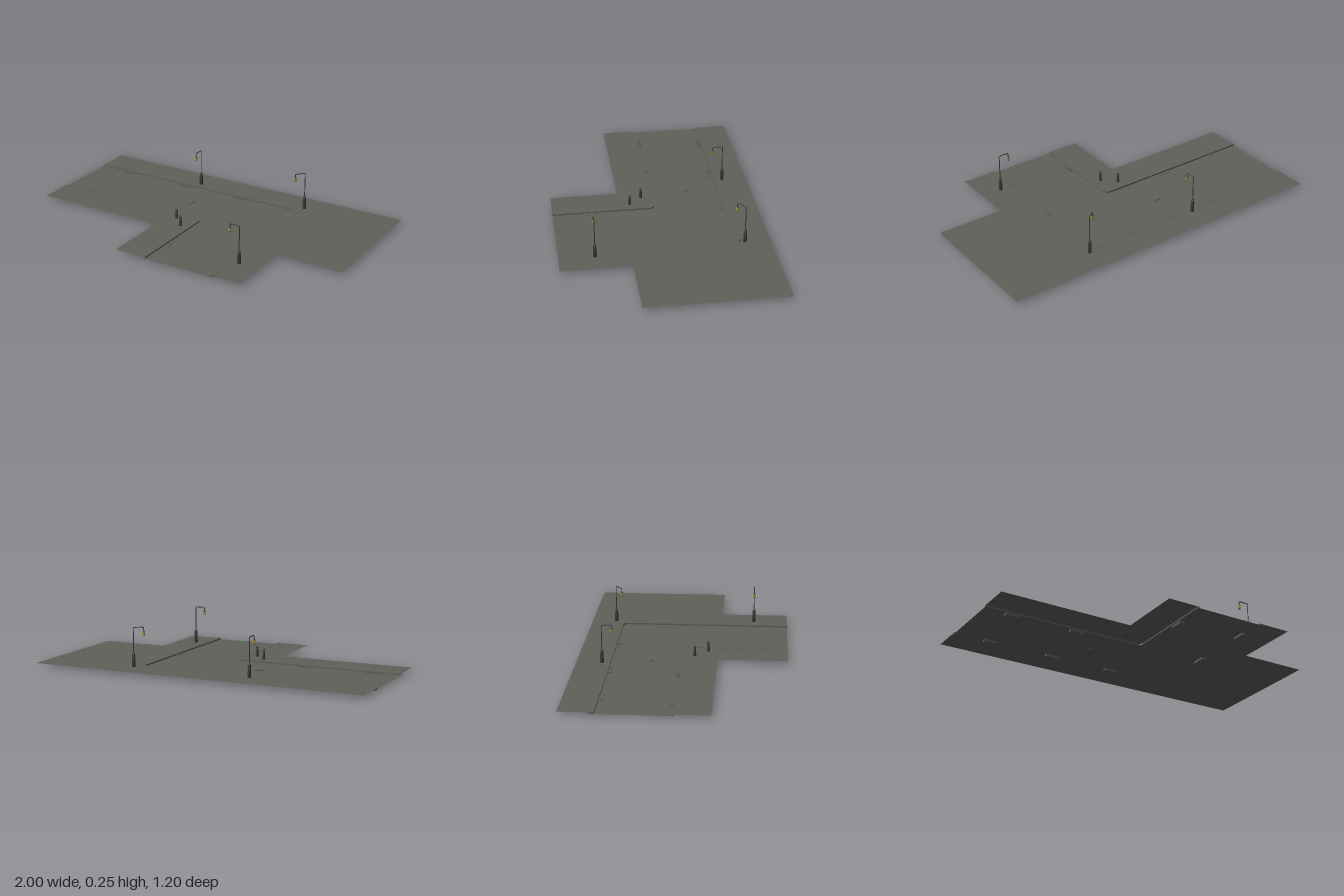
import * as THREE from 'three';

const ROAD_Y = 0.011, WALK_Y = 0.019;

const mat = (name, color, side = THREE.FrontSide) => {
  const m = new THREE.MeshStandardMaterial({ color, side });
  m.name = name;
  return m;
};

// L-shaped line: along x to a rounded corner, then along z to the stem's end
function ell(x, z, r) {
  const pts = [[-1, z]];
  for (let i = 0; i <= 8; i++) {
    const a = (i / 8) * Math.PI / 2;
    pts.push([x - r + r * Math.sin(a), z + r - r * Math.cos(a)]);
  }
  pts.push([x, 0.6]);
  return pts;
}

const toShape = pts => new THREE.Shape(pts.map(([x, z]) => new THREE.Vector2(x, -z)));

export function createModel() {
  const model = new THREE.Group();
  const stone = mat('pavingStone', 0x5f605a, THREE.DoubleSide);
  const iron = mat('darkIron', 0x3b3e3a);
  const gold = mat('lampGlass', 0xb5953c);

  const add = (parent, name, geo, material, x = 0, y = 0, z = 0) => {
    const m = new THREE.Mesh(geo, material);
    m.name = name;
    m.position.set(x, y, z);
    parent.add(m);
    return m;
  };
  const sheet = (name, pts, y) =>
    add(model, name, new THREE.ShapeGeometry(toShape(pts)).rotateX(-Math.PI / 2), stone, 0, y);
  const strip = (name, a, b) =>
    add(model, name, new THREE.ExtrudeGeometry(toShape([...a, ...b.reverse()]),
      { depth: 0.02 - ROAD_Y, bevelEnabled: false }).rotateX(-Math.PI / 2), stone, 0, ROAD_Y);

  // Road, pavements and kerbs
  sheet('road', [...ell(-0.005, 0, 0.03), ...ell(0.4, -0.405, 0.03).reverse()], ROAD_Y);
  sheet('outerPavement', [...ell(0.432, -0.438, 0.03),
    [0.6, 0.6], [0.6, 0.2], [1, 0.2], [1, -0.6], [-1, -0.6]], WALK_Y);
  sheet('innerPavement', [...ell(-0.005, 0, 0.03), [-0.2, 0.6], [-0.2, 0.2], [-1, 0.2]], WALK_Y);
  strip('outerKerb', ell(0.4, -0.405, 0.03), ell(0.432, -0.438, 0.04));
  strip('innerKerb', ell(-0.005, 0, 0.03), ell(-0.013, 0.008, 0.025));

  // Manhole cover with a low rim
  add(model, 'manholeCover', new THREE.CylinderGeometry(0.033, 0.035, 0.006, 16), stone, -0.215, ROAD_Y + 0.002, -0.2);
  add(model, 'manholeRim', new THREE.TorusGeometry(0.034, 0.002, 4, 16).rotateX(Math.PI / 2), stone, -0.215, ROAD_Y + 0.003, -0.2);

  // Gutter drains: [x, z, turned along z]
  const drains = [
    [-0.78, -0.392, 0], [-0.38, -0.392, 0], [0.02, -0.392, 0],
    [-0.83, -0.013, 0], [-0.427, -0.013, 0],
    [0.392, 0.022, 1], [0.392, 0.425, 1], [0.008, 0.37, 1],
  ];
  for (const [x, z, turned] of drains) {
    const drain = new THREE.Group();
    drain.name = 'drain';
    add(drain, 'drainBox', new THREE.BoxGeometry(0.084, 0.0115, 0.026), stone, 0, 0.00575, 0);
    for (let i = 0; i < 6; i++)
      add(drain, 'grateBar', new THREE.BoxGeometry(0.007, 0.002, 0.022), stone, -0.035 + i * 0.014, 0.0125, 0);
    drain.position.set(x, 0, z);
    if (turned) drain.rotation.y = Math.PI / 2;
    model.add(drain);
  }

  const lathe = (pts, n) => new THREE.LatheGeometry(pts.map(p => new THREE.Vector2(...p)), n);

  // Street lamps: [x, z, arm heading]; the arm points along local +x
  const lamps = [
    [-0.287, -0.453, -Math.PI / 2],
    [0.435, -0.453, -Math.PI * 0.77],
    [0.475, 0.397, Math.PI],
  ];
  const baseProfile = [[0, 0], [0.0105, 0], [0.0105, 0.05], [0.0085, 0.053],
    [0.0085, 0.068], [0.0095, 0.07], [0.0095, 0.075], [0.003, 0.078], [0, 0.078]];
  for (const [x, z, heading] of lamps) {
    const lamp = new THREE.Group();
    lamp.name = 'streetLamp';
    add(lamp, 'lampBase', lathe(baseProfile, 10), iron);
    const arm = new THREE.CurvePath();
    const v = (a, b) => new THREE.Vector3(a, b, 0);
    arm.add(new THREE.LineCurve3(v(0, 0.07), v(0, 0.219)));
    arm.add(new THREE.QuadraticBezierCurve3(v(0, 0.219), v(0, 0.225), v(0.006, 0.225)));
    arm.add(new THREE.LineCurve3(v(0.006, 0.225), v(0.054, 0.225)));
    arm.add(new THREE.QuadraticBezierCurve3(v(0.054, 0.225), v(0.06, 0.225), v(0.06, 0.219)));
    arm.add(new THREE.LineCurve3(v(0.06, 0.219), v(0.06, 0.2)));
    add(lamp, 'lampPole', new THREE.TubeGeometry(arm, 60, 0.0027, 6), iron);
    // Lantern
    add(lamp, 'lanternCap', new THREE.CylinderGeometry(0.004, 0.0092, 0.005, 8), iron, 0.06, 0.2015, 0);
    add(lamp, 'lanternGlass', new THREE.CylinderGeometry(0.0085, 0.0065, 0.021, 8), gold, 0.06, 0.189, 0);
    add(lamp, 'lanternFoot', new THREE.CylinderGeometry(0.007, 0.005, 0.003, 8), iron, 0.06, 0.177, 0);
    lamp.position.set(x, 0.02, z);
    lamp.rotation.y = heading;
    model.add(lamp);
  }

  // Bollards at the inner corner
  const bollardProfile = [[0, 0], [0.0095, 0], [0.0095, 0.004], [0.007, 0.038],
    [0.0085, 0.041], [0.0045, 0.045], [0.0075, 0.051], [0.0075, 0.056], [0.004, 0.061], [0, 0.062]];
  for (const [x, z] of [[-0.14, 0.065], [-0.065, 0.14]])
    add(model, 'bollard', lathe(bollardProfile, 10), iron, x, WALK_Y, z);

  return model;
}
